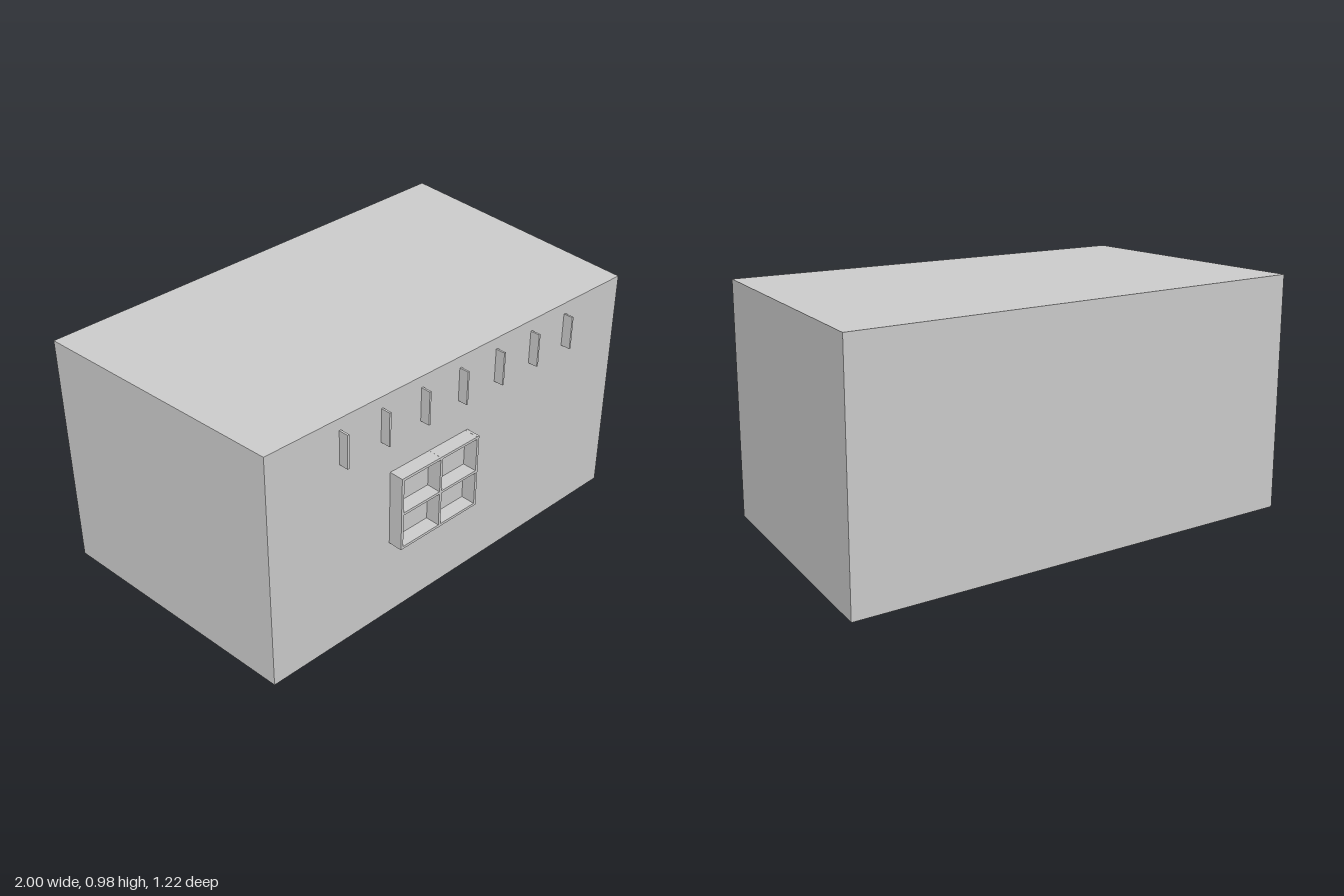
import * as THREE from 'three';

const HEIGHT = 0.975;
// Floor plan corners (x, z), counter-clockwise seen from above
const PLAN = [[-0.955, 0.522], [0.86, 0.568], [1, -0.61], [-1, -0.565]];
const WALL_NAMES = ['frontWall', 'leftWall', 'backWall', 'rightWall'];

export function createModel() {
  const model = new THREE.Group();
  model.name = 'building';
  const grey = new THREE.MeshStandardMaterial({ color: 0xcccccc, side: THREE.DoubleSide });
  grey.name = 'plain grey';

  function add(parent, name, geometry) {
    const mesh = new THREE.Mesh(geometry, grey);
    mesh.name = name;
    parent.add(mesh);
    return mesh;
  }

  // Thin single-sheet walls, open underneath
  PLAN.forEach(([x0, z0], i) => {
    const [x1, z1] = PLAN[(i + 1) % 4];
    const length = Math.hypot(x1 - x0, z1 - z0);
    const wall = add(model, WALL_NAMES[i], new THREE.PlaneGeometry(length, HEIGHT));
    wall.position.set((x0 + x1) / 2, HEIGHT / 2, (z0 + z1) / 2);
    wall.rotation.y = -Math.atan2(z1 - z0, x1 - x0);
  });

  // Flat roof
  const outline = new THREE.Shape(PLAN.map(([x, z]) => new THREE.Vector2(x, -z)));
  const roof = add(model, 'roof', new THREE.ShapeGeometry(outline));
  roof.rotation.x = -Math.PI / 2;
  roof.position.y = HEIGHT;

  // Details sit in the plane of the slightly turned front wall
  const [[ax, az], [bx, bz]] = PLAN;
  const slope = (bz - az) / (bx - ax);
  const facade = new THREE.Group();
  facade.name = 'facadeDetails';
  facade.position.set(0, 0, az - slope * ax);
  facade.rotation.y = -Math.atan(slope);
  model.add(facade);

  function bar(parent, name, x, y, w, h, back, front) {
    const mesh = add(parent, name, new THREE.BoxGeometry(w, h, front - back));
    mesh.position.set(x, y, (back + front) / 2);
  }

  // Row of upright fins under the roof edge
  for (let i = 0; i < 7; i++) {
    bar(facade, 'fin', -0.63 + i * 0.194, 0.86, 0.008, 0.137, 0, 0.04);
  }

  // Four-pane window frame
  const frame = new THREE.Group();
  frame.name = 'windowFrame';
  facade.add(frame);
  const t = 0.011, depth = 0.06;
  for (const x of [-0.388, -0.193, 0.0]) {
    bar(frame, 'uprightBar', x, 0.486, t, 0.314, 0, depth);
  }
  // Cross bars run between the uprights and just pierce the wall
  for (const y of [0.335, 0.486, 0.637]) {
    for (const x of [-0.2905, -0.0965]) {
      bar(frame, 'crossBar', x, y, 0.184, t, -0.002, depth);
    }
  }
  return model;
}
